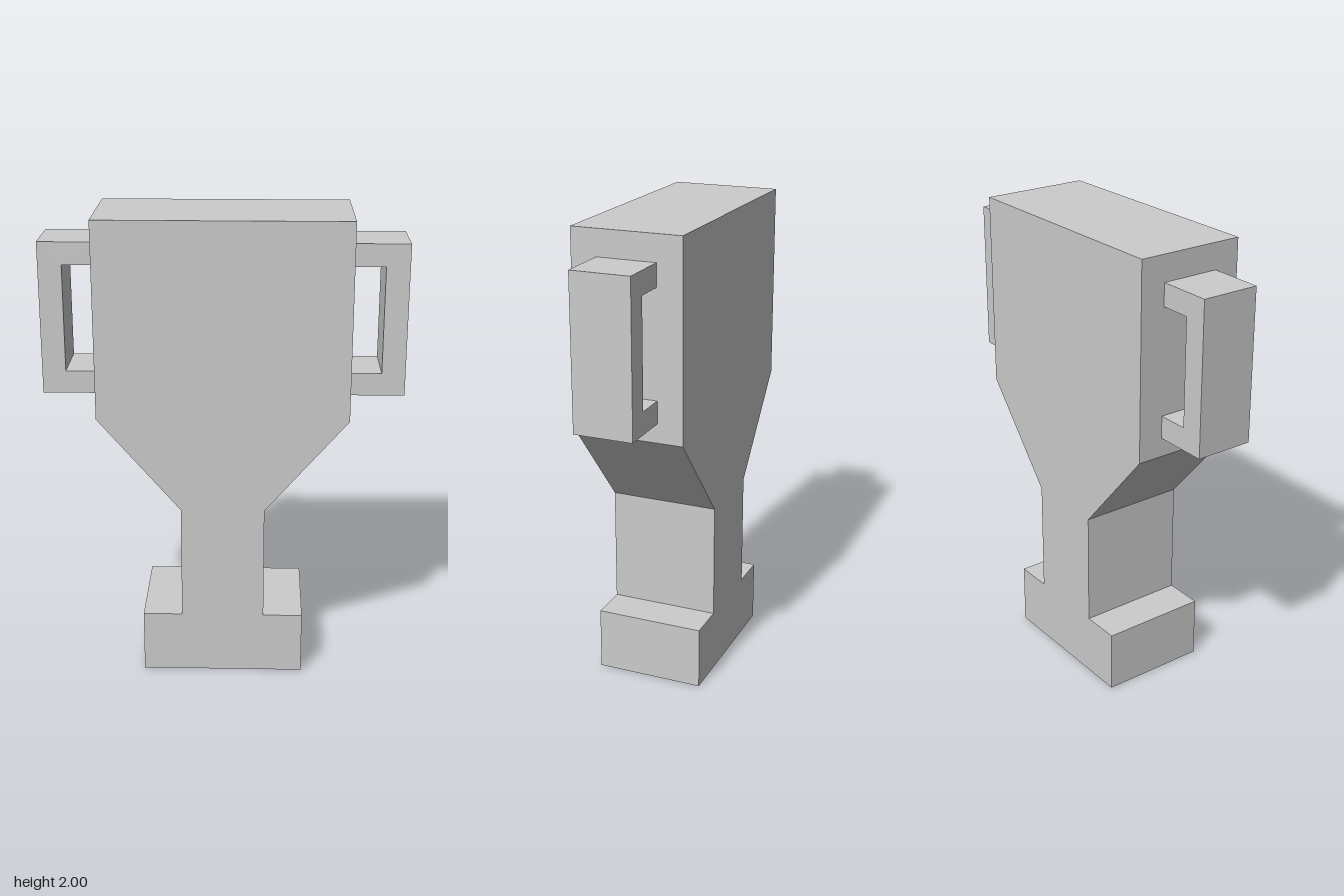
import * as THREE from 'three';

const material = new THREE.MeshStandardMaterial({ color: 0xcccccc, flatShading: true });

// Extrudes an outline of [x, y] points, centred on z = 0
function slab(name, points, depth) {
  const shape = new THREE.Shape(points.map(([x, y]) => new THREE.Vector2(x, y)));
  const geometry = new THREE.ExtrudeGeometry(shape, { depth, bevelEnabled: false });
  geometry.translate(0, 0, -depth / 2);
  const mesh = new THREE.Mesh(geometry, material);
  mesh.name = name;
  return mesh;
}

export function createModel() {
  const group = new THREE.Group();
  group.name = 'trophy';

  // Cup, tapered shoulder, stem and foot share one symmetric outline
  const right = [[0.345, 0], [0.345, 0.27], [0.177, 0.27], [0.177, 0.765], [0.525, 1.17], [0.525, 2]];
  const left = right.map(([x, y]) => [-x, y]).reverse();
  group.add(slab('cupBody', [...right, ...left], 0.465));

  // C-shaped handles, one on each side of the cup
  const handle = [
    [0.525, 1.25], [0.755, 1.25], [0.755, 1.89], [0.525, 1.89],
    [0.525, 1.795], [0.657, 1.795], [0.657, 1.345], [0.525, 1.345],
  ];
  group.add(slab('leftHandle', handle, 0.25));
  group.add(slab('rightHandle', handle.map(([x, y]) => [-x, y]).reverse(), 0.25));

  return group;
}
